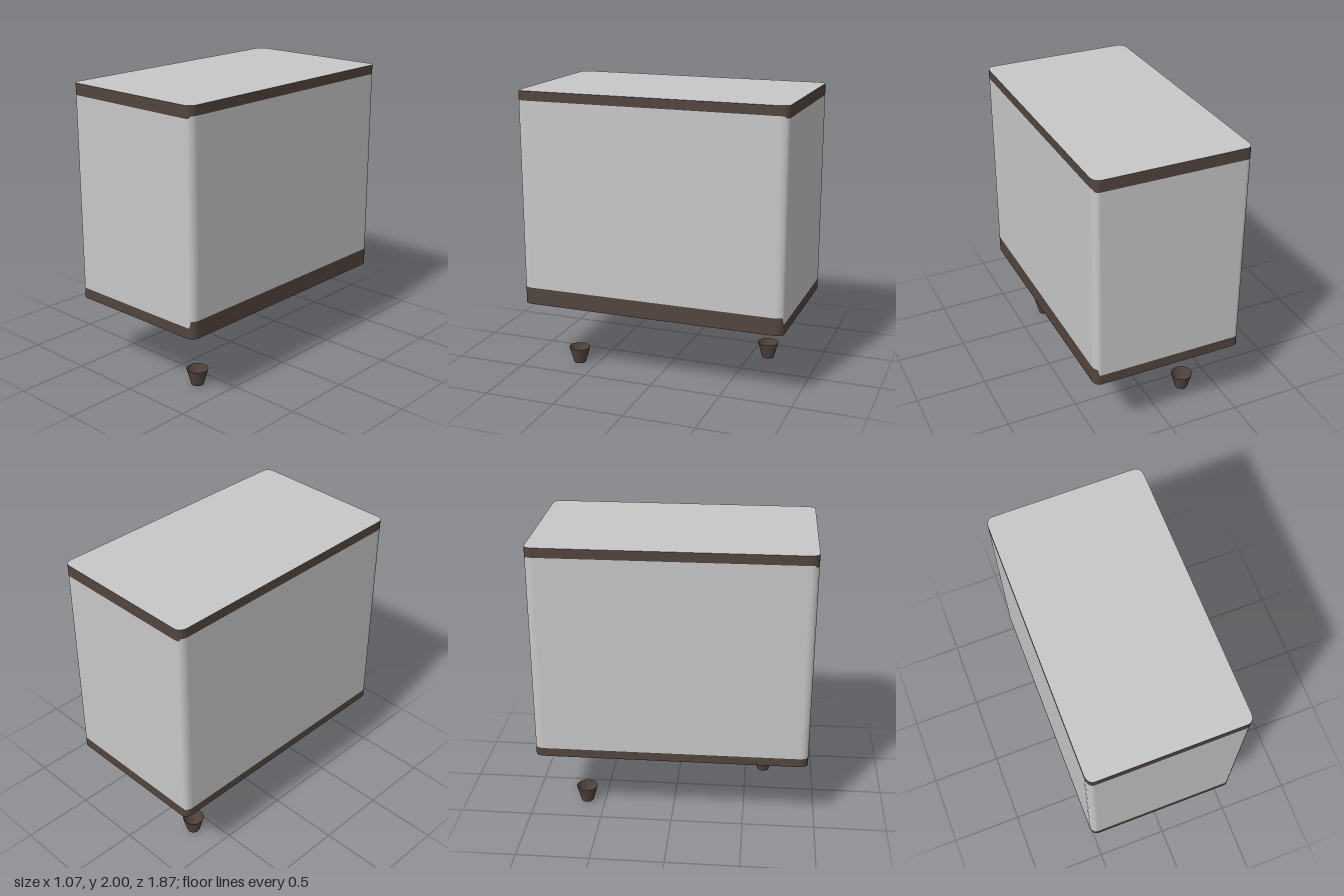
import * as THREE from 'three';

const HALF_X = 0.535, HALF_Z = 0.933, CORNER_X = 0.045, CORNER_Z = 0.06;
const BOTTOM = 0.5, TOP = 2;

// Rounded rectangle outline in plan, with outward normals
function outline(steps = 6) {
  const points = [];
  for (let corner = 0; corner < 4; corner++) {
    const sx = corner === 0 || corner === 3 ? 1 : -1;
    const sz = corner < 2 ? 1 : -1;
    for (let i = 0; i <= steps; i++) {
      const a = (corner + i / steps) * Math.PI / 2;
      const c = Math.cos(a), s = Math.sin(a);
      const normal = new THREE.Vector2(c / CORNER_X, s / CORNER_Z).normalize();
      points.push({
        x: sx * (HALF_X - CORNER_X) + c * CORNER_X,
        z: sz * (HALF_Z - CORNER_Z) + s * CORNER_Z,
        nx: normal.x, nz: normal.y,
      });
    }
  }
  return points;
}

// Upright wall strip between two heights that may vary from side to side
function wall(ring, low, high) {
  const position = [], normal = [], index = [];
  ring.forEach((p, i) => {
    position.push(p.x, low(p), p.z, p.x, high(p), p.z);
    normal.push(p.nx, 0, p.nz, p.nx, 0, p.nz);
    const a = 2 * i, b = 2 * ((i + 1) % ring.length);
    index.push(a, a + 1, b, b, a + 1, b + 1);
  });
  const geometry = new THREE.BufferGeometry();
  geometry.setAttribute('position', new THREE.Float32BufferAttribute(position, 3));
  geometry.setAttribute('normal', new THREE.Float32BufferAttribute(normal, 3));
  geometry.setIndex(index);
  return geometry;
}

export function createModel() {
  const model = new THREE.Group();
  model.name = 'cabinet';
  const grey = new THREE.MeshStandardMaterial({ color: 0xc8c8c8 });
  grey.name = 'light grey';
  const brown = new THREE.MeshStandardMaterial({ color: 0x53453e, side: THREE.DoubleSide });
  brown.name = 'dark brown';

  const add = (name, geometry, material) => {
    const mesh = new THREE.Mesh(geometry, material);
    mesh.name = name;
    model.add(mesh);
    return mesh;
  };

  // Body walls with trim bands; the lower band is taller on the +x side
  const ring = outline();
  const bottom = () => BOTTOM, top = () => TOP;
  const lowerEdge = p => (p.nx > 0.6 ? 0.62 : p.nx < -0.6 ? 0.56 : 0.573);
  const upperEdge = p => (Math.abs(p.nz) > 0.6 ? 1.92 : 1.935);
  add('lowerTrim', wall(ring, bottom, lowerEdge), brown);
  add('bodyWalls', wall(ring, lowerEdge, upperEdge), grey);
  add('upperTrim', wall(ring, upperEdge, top), brown);

  // Top and bottom panels
  const plan = new THREE.Shape(ring.map(p => new THREE.Vector2(p.x, p.z)));
  add('topPanel', new THREE.ShapeGeometry(plan).rotateX(-Math.PI / 2), grey).position.y = TOP;
  add('bottomPanel', new THREE.ShapeGeometry(plan).rotateX(Math.PI / 2), grey).position.y = BOTTOM;

  // Two diagonal feet, tapered cups closed at the floor
  const cup = new THREE.CylinderGeometry(0.075, 0.043, 0.115, 16, 1, true);
  const sole = new THREE.CircleGeometry(0.043, 16).rotateX(Math.PI / 2);
  for (const [name, x, z] of [['frontFoot', 0.28, 0.635], ['backFoot', -0.27, -0.63]]) {
    const foot = add(name, cup, brown);
    foot.position.set(x, 0.0575, z);
    const base = new THREE.Mesh(sole, brown);
    base.name = name + 'Sole';
    base.position.y = -0.0575;
    foot.add(base);
  }

  return model;
}
